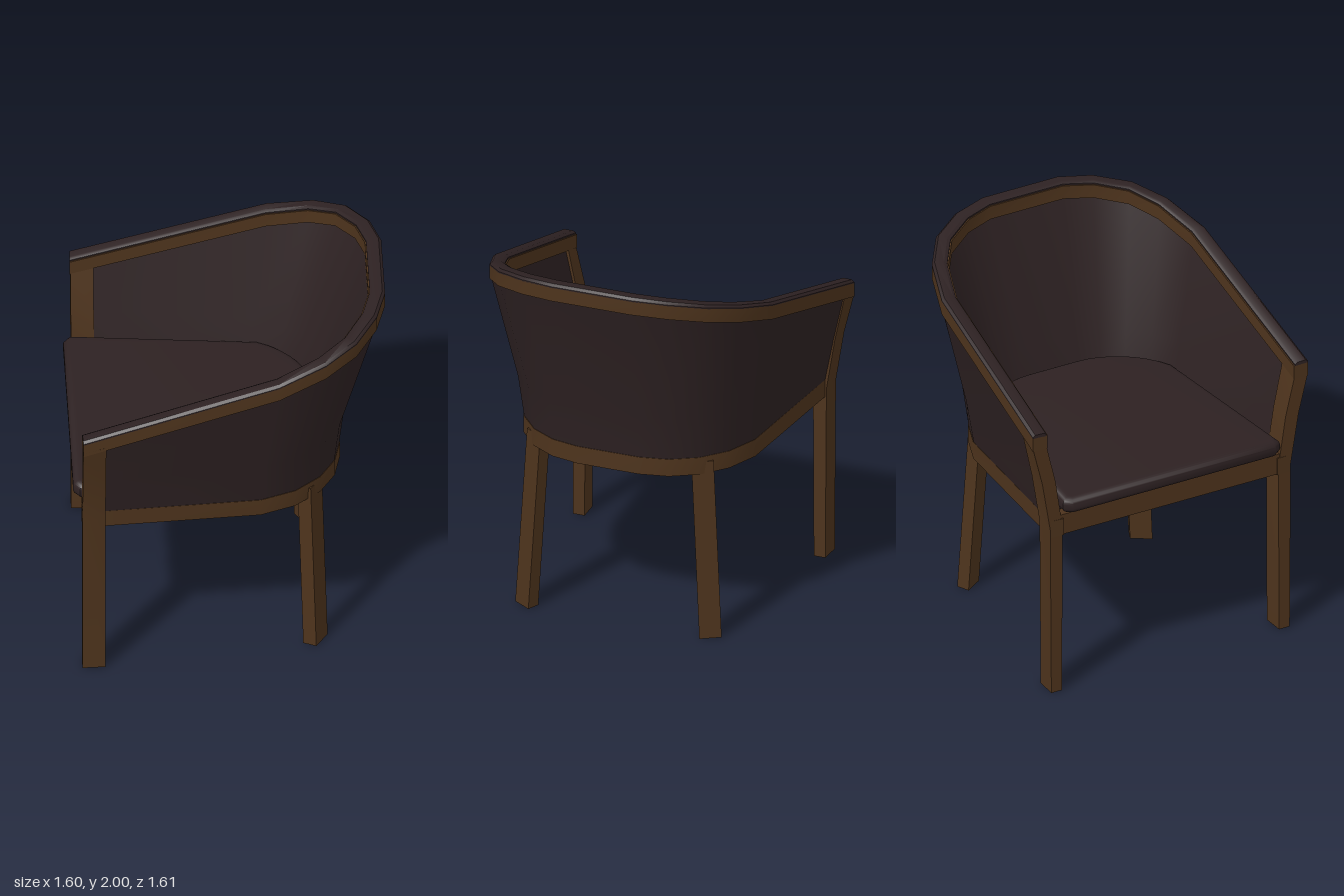
import * as THREE from 'three';
import { toCreasedNormals } from 'three/addons/utils/BufferGeometryUtils.js';

const wood = new THREE.MeshStandardMaterial({ color: 0x4d331c });
wood.name = 'brown wood';
const fabric = new THREE.MeshStandardMaterial({ color: 0x2d2122 });
fabric.name = 'dark upholstery';

// Half plans [x, z] of the U-shaped back, from the arm front to the rear
const topHalf = [[-0.76, 0.805], [0.24, 0.768], [0.48, 0.69], [0.64, 0.575], [0.75, 0.40], [0.80, 0.22]];
const lowHalf = [[-0.76, 0.70], [0.15, 0.635], [0.33, 0.565], [0.46, 0.455], [0.54, 0.32], [0.572, 0.17]];
const mirrorPlan = (half) => [...half, ...half.slice().reverse().map(([x, z]) => [x, -z])];
const topPlan = mirrorPlan(topHalf);
const lowPlan = mirrorPlan(lowHalf);
const ARM_SLOPE = 0.301;
const armHeight = (x) => 1.53 + ARM_SLOPE * (x + 0.76);
const MID_Y = 1.23;

// Skin a list of closed rings and cap both ends
function loft(rings) {
  const n = rings[0].length;
  const index = [];
  for (let i = 0; i < rings.length - 1; i++) {
    for (let j = 0; j < n; j++) {
      const k = (j + 1) % n;
      const a = i * n + j, b = (i + 1) * n + j, c = (i + 1) * n + k, d = i * n + k;
      index.push(a, b, c, a, c, d);
    }
  }
  const e = (rings.length - 1) * n;
  for (let j = 1; j < n - 1; j++) index.push(0, j, j + 1, e, e + j + 1, e + j);
  const geo = new THREE.BufferGeometry();
  geo.setAttribute('position', new THREE.Float32BufferAttribute(rings.flat(2), 3));
  geo.setIndex(index);
  return toCreasedNormals(geo, 0.6);
}

// Point on the back at a station: t blends low plan to top plan, inset moves inward
function wallPoint(i, t, y, inset) {
  const a = topPlan[Math.max(i - 1, 0)];
  const b = topPlan[Math.min(i + 1, topPlan.length - 1)];
  const dx = b[0] - a[0], dz = b[1] - a[1], len = Math.hypot(dx, dz);
  const x = THREE.MathUtils.lerp(lowPlan[i][0], topPlan[i][0], t);
  const z = THREE.MathUtils.lerp(lowPlan[i][1], topPlan[i][1], t);
  return [x + dz / len * inset, y, z - dx / len * inset];
}

// Rings around the U; section(i) gives rows of [t, y, inset]
const ringsAlong = (section) =>
  topPlan.map((_, i) => section(i).map(([t, y, inset]) => wallPoint(i, t, y, inset)));
const sweep = (section) => loft(ringsAlong(section));

export function createModel() {
  const chair = new THREE.Group();
  chair.name = 'armchair';
  const add = (name, geo, mat) => {
    const mesh = new THREE.Mesh(geo, mat);
    mesh.name = name;
    chair.add(mesh);
    return mesh;
  };
  const top = (i) => armHeight(topPlan[i][0]);
  const midBlend = (i) => THREE.MathUtils.mapLinear(topPlan[i][0], -0.76, 0.8, 0.45, 0.12);
  const last = topPlan.length - 1;

  // Upholstered wrap-around back, thicker at the seat
  const shellRings = ringsAlong((i) => {
    const [low, mid, high] = i === 0 || i === last ? [0.06, 0.06, 0.06] : [0.105, 0.09, 0.068];
    return [
      [0, 0.99, 0.004], [midBlend(i), MID_Y, 0.004], [1, top(i) - 0.07, 0.004],
      [1, top(i) - 0.07, high], [midBlend(i), MID_Y, mid], [0, 0.99, low],
    ];
  });
  // Its two ends stop inside the front posts, following the slope of the arms
  const END_SHIFT = 0.1;
  for (const ring of [shellRings[0], shellRings[last]]) {
    ring.forEach((p, j) => {
      p[0] += END_SHIFT;
      p[2] -= Math.sign(p[2]) * 0.005;
      if (j === 2 || j === 3) p[1] += END_SHIFT * ARM_SLOPE;
    });
  }
  add('backShell', loft(shellRings), fabric);

  // Wooden rails at the bottom and top of the back
  add('seatRail', sweep(() => [[0, 0.905, 0], [0, 1.0, 0], [0, 1.0, 0.075], [0, 0.905, 0.075]]), wood);
  add('topRail', sweep((i) => [
    [1, top(i) - 0.093, 0], [1, top(i) - 0.018, 0], [1, top(i) - 0.018, 0.085], [1, top(i) - 0.093, 0.085],
  ]), wood);

  // Rounded padded cap on the top rail
  const cap = [[0, -0.02], [0, -0.012], [0.014, 0], [0.062, 0], [0.078, -0.01], [0.078, -0.02]];
  add('topCap', sweep((i) => cap.map(([inset, dy]) => [1, top(i) + dy, inset])), fabric);

  // Front posts [y, outer z, thickness, rise of the rear edge] flare outwards to meet the arms
  const postRows = [
    [0, 0.697, 0.062, 0], [0.95, 0.703, 0.072, 0], [MID_Y, 0.749, 0.076, 0], [1.455, 0.805, 0.078, 0.035],
  ];
  // Rear legs are turned to follow the corner and splay towards the floor
  const legSection = [[0.497, 0.47], [0.435, 0.567], [0.37, 0.538], [0.432, 0.442]];
  for (const side of [1, -1]) {
    const name = side > 0 ? 'Left' : 'Right';
    const place = (ring) => {
      const out = ring.map(([x, y, z]) => [x, y, z * side]);
      return side > 0 ? out : out.reverse();
    };
    add('frontPost' + name, loft(postRows.map(([y, z, thick, rise]) => place([
      [-0.76, y, z - thick], [-0.643, y + rise, z - thick - 0.005], [-0.643, y + rise, z - 0.004], [-0.76, y, z],
    ]))), wood);
    add('rearLeg' + name, loft([[0, 0, 0], [0.97, -0.026, -0.054]].map(([y, dx, dz]) =>
      place(legSection.map(([x, z]) => [x + dx, y, z + dz])))), wood);
  }

  // Front rail between the posts
  const frontRail = add('frontRail', new THREE.BoxGeometry(0.11, 0.115, 1.28), wood);
  frontRail.position.set(-0.7, 0.9625, 0);

  // Board under the cushion, level with the top of the rails
  const board = new THREE.Shape(lowPlan.map(([x, z]) => new THREE.Vector2(x * 0.92, z * 0.92)));
  const boardGeo = new THREE.ExtrudeGeometry(board, { depth: 0.03, bevelEnabled: false });
  boardGeo.rotateX(Math.PI / 2);
  add('seatBoard', boardGeo, fabric).position.y = 1.025;

  // Seat cushion with rounded edges
  const seat = new THREE.Shape();
  seat.moveTo(-0.758, -0.577);
  seat.lineTo(-0.75, -0.587);
  seat.lineTo(0.17, -0.503);
  seat.bezierCurveTo(0.32, -0.44, 0.415, -0.28, 0.415, -0.14);
  seat.lineTo(0.415, 0.14);
  seat.bezierCurveTo(0.415, 0.28, 0.32, 0.44, 0.17, 0.503);
  seat.lineTo(-0.75, 0.587);
  seat.lineTo(-0.758, 0.577);
  seat.closePath();
  const seatGeo = new THREE.ExtrudeGeometry(seat, {
    depth: 0.02, bevelSize: 0.045, bevelThickness: 0.036, bevelSegments: 6, curveSegments: 8,
  });
  seatGeo.rotateX(Math.PI / 2);
  add('seatCushion', toCreasedNormals(seatGeo, 0.7), fabric).position.y = 1.085;

  return chair;
}
